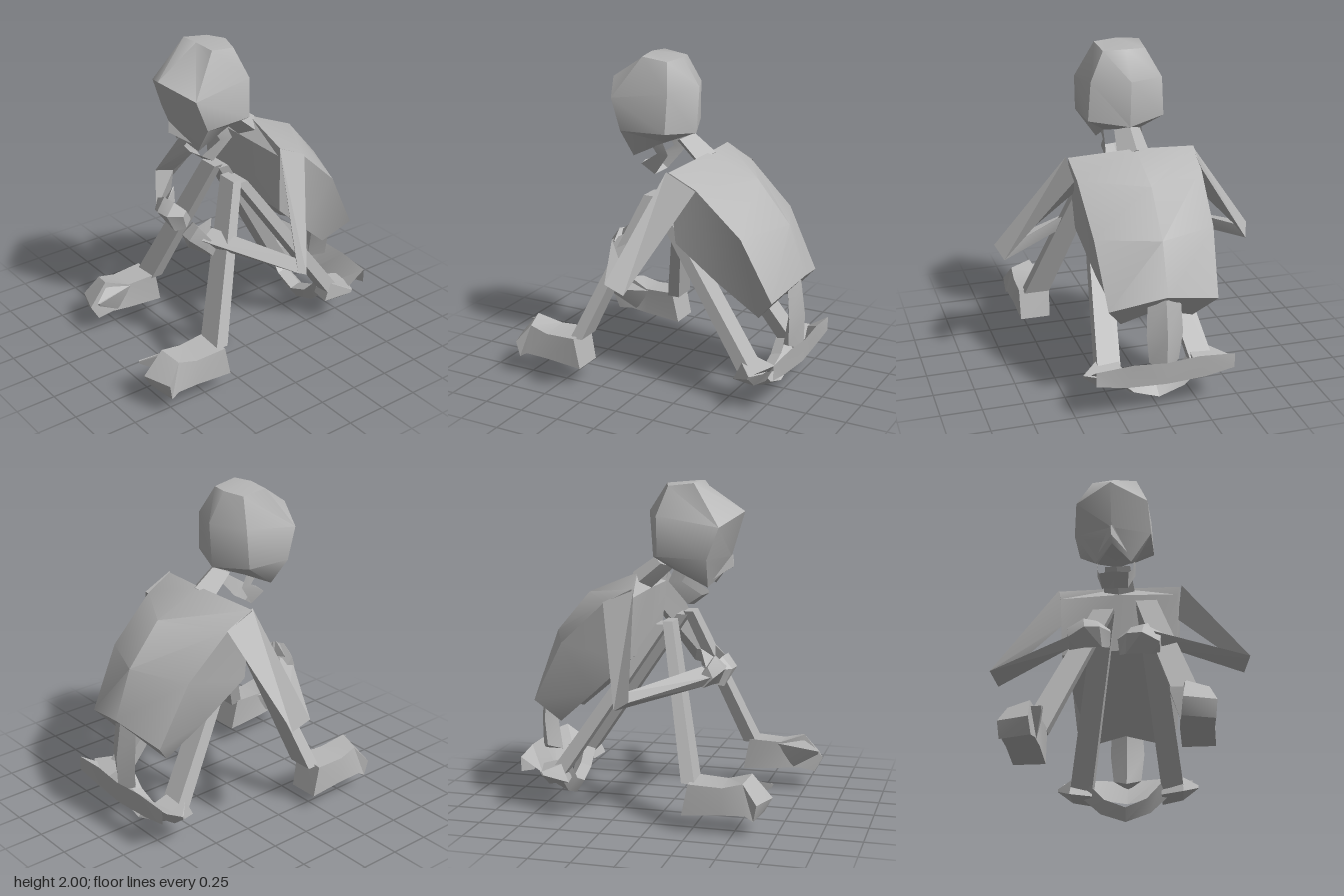
import * as THREE from 'three';
import { toCreasedNormals } from 'three/addons/utils/BufferGeometryUtils.js';

const bone = new THREE.MeshStandardMaterial({ color: 0xb6b6b6, side: THREE.DoubleSide });
bone.name = 'grey bone';
const CX = -0.02; // body's mirror plane

// Skin a list of cross-sections; each is a list of [x, y, z] points.
function loft(name, rings, { closed = true, caps = true, crease = 0.35 } = {}) {
  const pos = [];
  const tri = (a, b, c) => pos.push(...a, ...b, ...c);
  const n = rings[0].length;
  for (let i = 0; i + 1 < rings.length; i++) {
    for (let j = 0; j < (closed ? n : n - 1); j++) {
      const k = (j + 1) % n;
      const a = rings[i][j], b = rings[i][k], c = rings[i + 1][k], d = rings[i + 1][j];
      tri(a, b, c);
      tri(a, c, d);
    }
  }
  if (closed && caps) {
    const first = rings[0], last = rings[rings.length - 1];
    for (let j = 1; j + 1 < n; j++) {
      tri(first[0], first[j + 1], first[j]);
      tri(last[0], last[j], last[j + 1]);
    }
  }
  const geo = new THREE.BufferGeometry();
  geo.setAttribute('position', new THREE.Float32BufferAttribute(pos, 3));
  const mesh = new THREE.Mesh(toCreasedNormals(geo, crease), bone);
  mesh.name = name;
  return mesh;
}

// Complete a half section (centre line to centre line) by mirroring it.
const flip = ([x, y, z]) => [-x, y, z];
const shift = ([x, y, z]) => [x + CX, y, z];
const whole = half => [...half, ...half.slice(1, -1).reverse().map(flip)].map(shift);

// Open strip mirrored about the body's middle; pairs run from the outer end to the middle.
const strip = (name, pairs) => loft(name,
  [...pairs, ...pairs.slice(0, -1).reverse().map(p => p.map(flip))].map(p => p.map(shift)),
  { closed: false });

// Four-sided bone between two points, with [width, depth] at each end.
function bar(name, a, sa, b, sb) {
  const rect = ([x, y, z], [w, d]) => [
    [x - w / 2, y, z + d / 2], [x + w / 2, y, z + d / 2],
    [x + w / 2, y, z - d / 2], [x - w / 2, y, z - d / 2]];
  return loft(name, [rect(a, sa), rect(b, sb)]);
}

function addHead(g) {
  const head = new THREE.Group();
  head.name = 'head';
  // Each section: front middle, face corner, back corner, back middle
  head.add(loft('skull', [
    [[0, 2, 0.17], [0.14, 1.99, 0.16], [0.13, 1.97, 0], [0, 1.98, -0.04]],
    [[0, 1.82, 0.44], [0.22, 1.74, 0.33], [0.22, 1.8, -0.05], [0, 1.81, -0.15]],
    [[0, 1.55, 0.36], [0.235, 1.55, 0.26], [0.235, 1.56, -0.04], [0, 1.53, -0.13]],
    [[0, 1.46, 0.32], [0.11, 1.37, 0.24], [0.12, 1.48, 0.02], [0, 1.49, -0.03]],
  ].map(whole), { crease: 0.75 }));
  // Nose ridge
  head.add(loft('nose', [
    [[-0.01, 1.56, 0.365], [0, 1.56, 0.37], [0.01, 1.56, 0.365]],
    [[-0.09, 1.42, 0.27], [0, 1.49, 0.375], [0.09, 1.42, 0.27]],
  ].map(r => r.map(shift)), { closed: false }));
  head.add(strip('jaw', [
    [[0.12, 1.49, 0.14], [0.12, 1.55, 0.07]],
    [[0.11, 1.4, 0.08], [0.12, 1.4, 0]],
    [[0.09, 1.32, 0.2], [0.08, 1.26, 0.11]],
    [[0, 1.32, 0.22], [0, 1.25, 0.13]],
  ]));
  g.add(head);
}

function addTrunk(g) {
  g.add(loft('neck', [
    [[0, 1.53, -0.12], [0.08, 1.5, -0.06], [0, 1.47, 0]],
    [[0, 1.43, -0.26], [0.1, 1.38, -0.2], [0, 1.33, -0.15]],
  ].map(whole)));
  // Each section: spine, side of back, side of chest, breastbone
  g.add(loft('ribcage', [
    [[0, 1.43, -0.23], [0.39, 1.385, -0.15], [0.37, 1.33, -0.15], [0, 1.34, -0.14]],
    [[0, 1.3, -0.54], [0.38, 1.3, -0.32], [0.36, 0.95, -0.18], [0, 0.97, -0.18]],
    [[0, 1.05, -0.75], [0.36, 1.04, -0.6], [0.3, 0.73, -0.42], [0, 0.76, -0.41]],
    [[0, 0.75, -0.86], [0.33, 0.67, -0.79], [0.22, 0.52, -0.66], [0, 0.58, -0.66]],
  ].map(whole), { crease: 0.7 }));
  g.add(loft('lowerSpine', [
    [[0, 0.72, -0.83], [0.1, 0.7, -0.79], [0, 0.64, -0.75]],
    [[0, 0.5, -0.865], [0.11, 0.5, -0.81], [0, 0.48, -0.76]],
    [[0, 0.28, -0.86], [0.09, 0.32, -0.8], [0, 0.28, -0.73]],
  ].map(whole)));
  g.add(strip('pelvisBack', [
    [[0.42, 0.33, -0.85], [0.42, 0.24, -0.71]],
    [[0.2, 0.35, -0.86], [0.24, 0.19, -0.74]],
    [[0, 0.34, -0.87], [0, 0.16, -0.78]],
  ]));
  g.add(strip('pelvisRim', [
    [[0.42, 0.33, -0.85], [0.42, 0.24, -0.85]],
    [[0.2, 0.35, -0.86], [0.24, 0.2, -0.84]],
    [[0, 0.34, -0.87], [0, 0.2, -0.86]],
  ]));
  g.add(loft('pelvisFront', [-1, -0.6, 0, 0.6, 1].map(t => {
    const x = 0.25 * t + CX, y = 0.15 * t * t;
    return [[x * 1.05, y, -0.64], [x * 0.9, y + 0.08, -0.59],
      [x * 0.9, y + 0.1, -0.66], [x * 1.05, y + 0.04, -0.72]];
  })));
}

function addLeg(g, s, side, knee, ankle, heel) {
  const leg = new THREE.Group();
  leg.name = side + 'Leg';
  const [kx, ky, kz] = knee;
  const hip = [s * 0.29 + CX / 2, 0.2, -0.66];
  leg.add(bar('thigh', [kx, ky - 0.02, kz - 0.04], [0.13, 0.07], hip, [0.14, 0.1]));
  leg.add(bar('shin', knee, [0.13, 0.06], ankle, [0.16, 0.08]));
  // Hip joint with its outward spur
  leg.add(loft('hipJoint', [
    [[0.22, 0.16, -0.6], [0.22, 0.28, -0.64], [0.22, 0.24, -0.78], [0.22, 0.13, -0.72]],
    [[0.36, 0.17, -0.57], [0.35, 0.28, -0.62], [0.36, 0.24, -0.76], [0.35, 0.15, -0.7]],
    [[0.45, 0.23, -0.7], [0.45, 0.25, -0.71], [0.45, 0.25, -0.72], [0.45, 0.23, -0.71]],
  ].map(r => r.map(([x, y, z]) => [s * x + CX / 2, y, z]))));
  // Foot, from heel to toes, in heel space
  const place = ([x, y, z]) => [s * x + heel[0], y + heel[1], z + heel[2]];
  leg.add(loft('foot', [
    [[-0.1, 0.32, 0.02], [0.1, 0.31, 0.02], [0.1, 0.12, -0.02], [-0.09, 0.12, -0.02]],
    [[-0.09, 0.31, 0.22], [0.09, 0.3, 0.22], [0.1, 0.14, 0.22], [-0.09, 0.14, 0.22]],
    [[-0.05, 0.36, 0.37], [0.08, 0.33, 0.34], [0.11, 0.15, 0.36], [-0.08, 0.15, 0.34]],
    [[-0.06, 0.22, 0.49], [0.12, 0.22, 0.43], [0.11, 0.12, 0.41], [-0.07, 0.13, 0.44]],
  ].map(r => r.map(place))));
  leg.add(loft('toeSpur', [
    [[-0.09, 0.3, 0.2], [-0.04, 0.33, 0.35], [-0.08, 0.15, 0.3]],
    [[-0.14, 0.28, 0.47], [-0.13, 0.28, 0.48], [-0.13, 0.26, 0.47]],
  ].map(r => r.map(place))));
  g.add(leg);
}

function addArm(g, s, side, dz) {
  const arm = new THREE.Group();
  arm.name = side + 'Arm';
  const place = ([x, y, z]) => [s * x + CX / 2, y, z];
  const elbow = [[0.8, 0.805, 0.04 + dz], [0.76, 0.74, -0.06 + dz], [0.69, 0.83, -0.03 + dz]];
  arm.add(loft('upperArm', [
    [[0.39, 1.39, -0.14], [0.39, 1.3, -0.33], [0.36, 1.18, -0.2]], elbow,
  ].map(r => r.map(place))));
  arm.add(loft('forearm', [
    elbow, [[0.24, 0.86, 0.32], [0.27, 0.8, 0.25], [0.22, 0.91, 0.23]],
  ].map(r => r.map(place))));
  // Bent hand, from wrist to fingertips
  const lift = s > 0 ? 0 : 0.05;
  const hand = ([x, y, z]) => place([x, y + lift, z]);
  arm.add(loft('hand', [
    [[0.28, 0.87, 0.28], [0.27, 0.8, 0.31], [0.27, 0.74, 0.25], [0.28, 0.8, 0.22]],
    [[0.18, 0.92, 0.3], [0.17, 0.84, 0.36], [0.17, 0.74, 0.28], [0.18, 0.82, 0.21]],
    [[0.1, 0.91, 0.28], [0.08, 0.84, 0.35], [0.07, 0.73, 0.3], [0.09, 0.8, 0.22]],
    [[0.03, 0.87, 0.24], [0.02, 0.84, 0.27], [0.03, 0.75, 0.24], [0.04, 0.8, 0.2]],
  ].map(r => r.map(hand))));
  arm.add(loft('thumb', [
    [[0.24, 0.86, 0.26], [0.15, 0.9, 0.3], [0.18, 0.86, 0.22]],
    [[0.2, 0.96, 0.22], [0.195, 0.96, 0.225], [0.195, 0.96, 0.215]],
  ].map(r => r.map(hand))));
  g.add(arm);
}

export function createModel() {
  const g = new THREE.Group();
  g.name = 'crouchingSkeleton';
  addHead(g);
  addTrunk(g);
  addLeg(g, 1, 'left', [0.17, 1.18, 0.06], [0.46, 0.3, 0.4], [0.47, 0, 0.38]);
  addLeg(g, -1, 'right', [-0.1, 1.16, 0], [-0.48, 0.28, 0.23], [-0.5, -0.02, 0.22]);
  addArm(g, 1, 'left', 0);
  addArm(g, -1, 'right', -0.09);
  return g;
}
